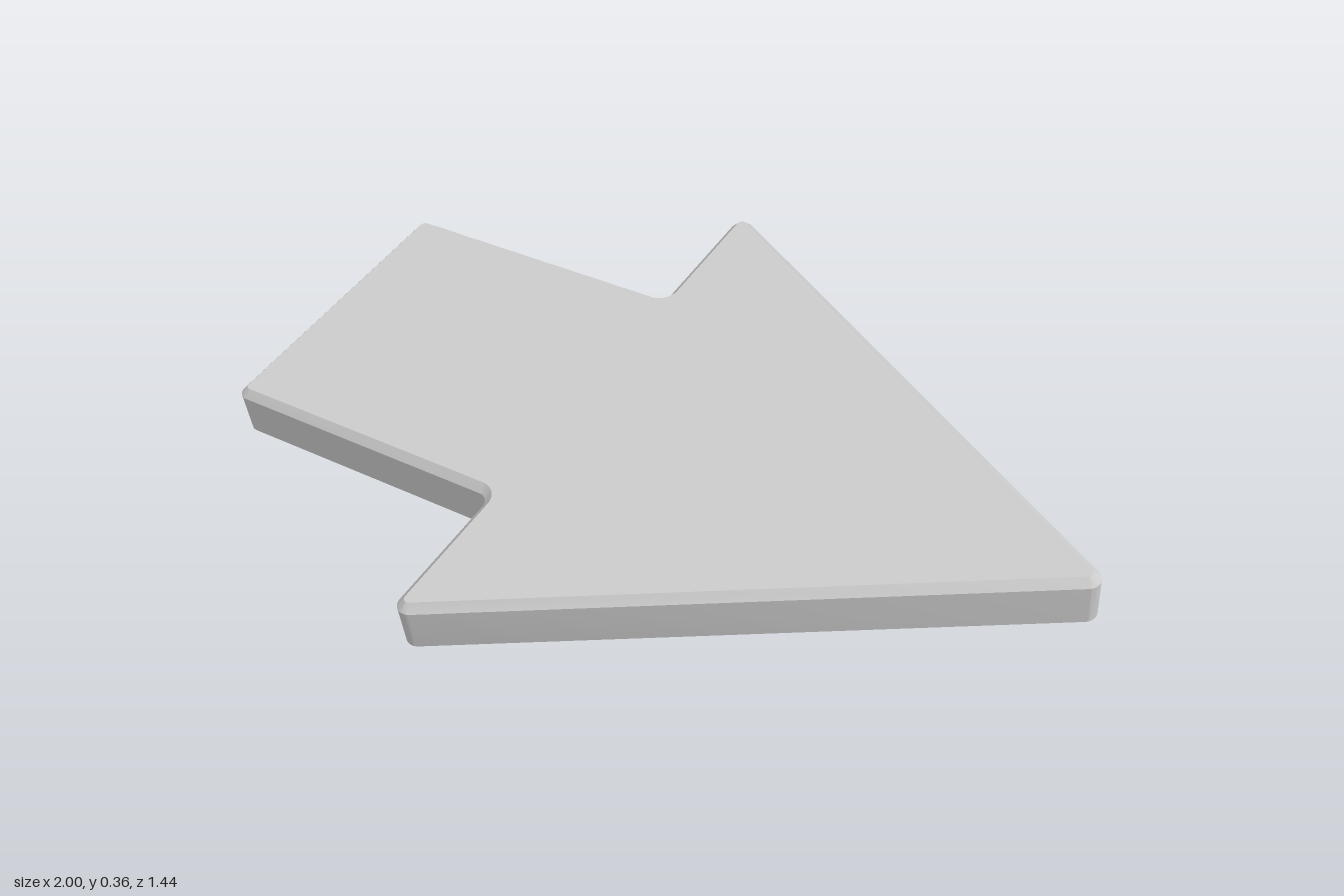
import * as THREE from 'three';
import { toCreasedNormals } from 'three/addons/utils/BufferGeometryUtils.js';

const R = 0.03;          // outline corner radius
const CHAMFER = 0.018;   // edge chamfer
const THICKNESS = 0.139;
const TAIL_X = -1, HEAD_X = -0.257, TIP_X = 1;
const SHAFT = 0.368, WING = 0.723; // half widths
const TILT = 9;          // degrees, front edge down

// Arrow outline, each corner an arc: [x, y, start, end, clockwise]
function arrowShape() {
  const corners = [
    [TAIL_X + R, -SHAFT + R, 180, 270, false],
    [HEAD_X - R, -SHAFT - R, 90, 0, true],
    [HEAD_X + R, -WING + R, 180, 300, false],
    [TIP_X - R, 0, -60, 60, false],
    [HEAD_X + R, WING - R, 60, 180, false],
    [HEAD_X - R, SHAFT + R, 0, -90, true],
    [TAIL_X + R, SHAFT - R, 90, 180, false],
  ];
  const rad = THREE.MathUtils.degToRad;
  const shape = new THREE.Shape();
  for (const [x, y, a, b, cw] of corners) shape.absarc(x, y, R, rad(a), rad(b), cw);
  shape.closePath();
  return shape;
}

export function createModel() {
  const group = new THREE.Group();
  group.name = 'arrow';

  // Chamfered slab, laid flat and then tilted about its long axis
  let geometry = new THREE.ExtrudeGeometry(arrowShape(), {
    depth: THICKNESS - 2 * CHAMFER,
    curveSegments: 8,
    bevelEnabled: true,
    bevelSegments: 1,
    bevelSize: CHAMFER,
    bevelThickness: CHAMFER,
    bevelOffset: -CHAMFER,
  });
  geometry.center();
  geometry.rotateX(THREE.MathUtils.degToRad(TILT - 90));
  geometry = toCreasedNormals(geometry, 0.5);

  // Rest the lowest edge on the ground
  geometry.computeBoundingBox();
  geometry.translate(0, -geometry.boundingBox.min.y, 0);

  const body = new THREE.Mesh(geometry, new THREE.MeshStandardMaterial({ color: 0xcccccc }));
  body.name = 'arrowBody';
  group.add(body);
  return group;
}
